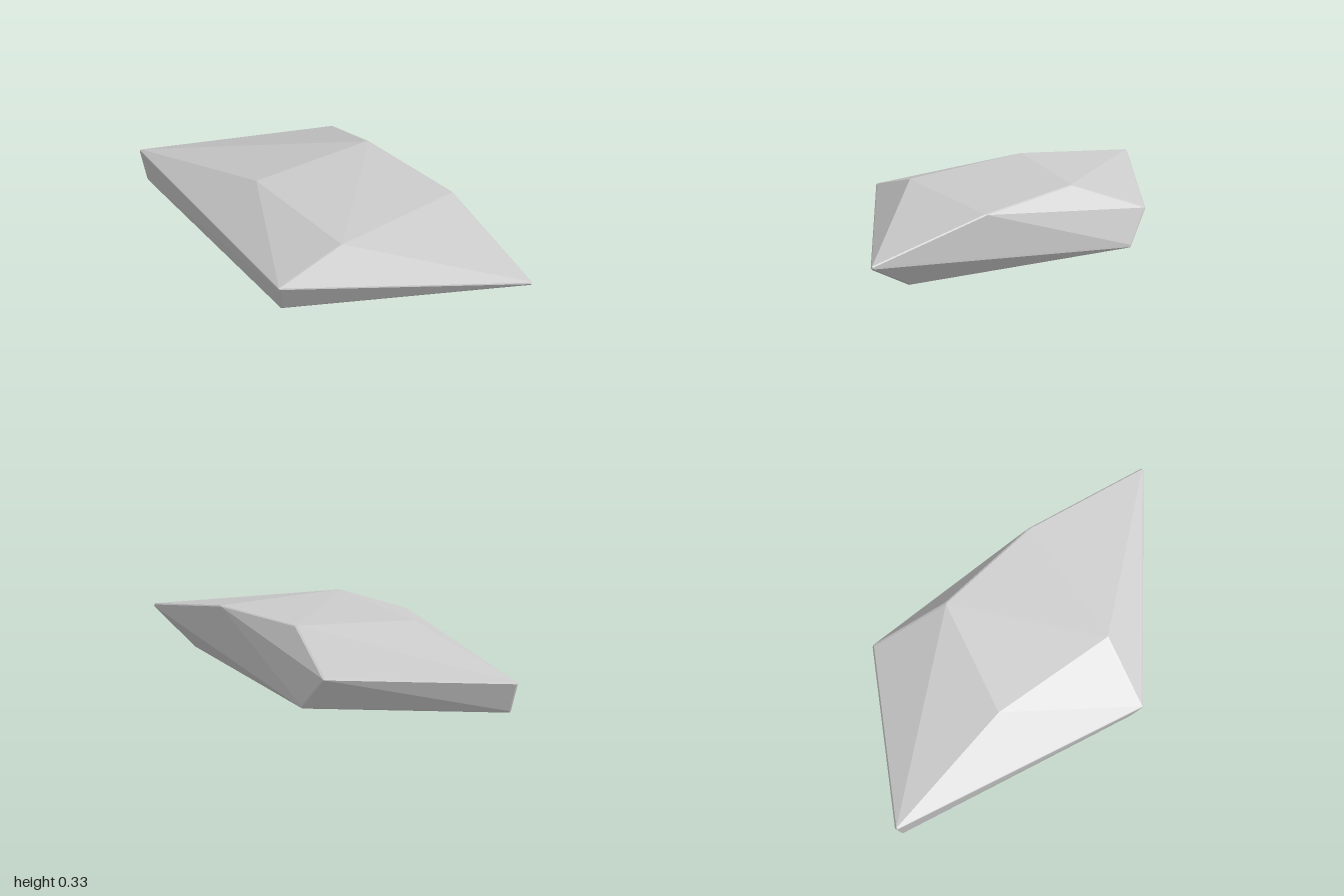
import * as THREE from 'three';
import { ConvexGeometry } from 'three/addons/geometries/ConvexGeometry.js';

const EDGE = 0.01; // radius of the softened edges

// Corner rings of the slab: left, front, right, back
const bottomRing = [[-0.95, 0.01, 0.03], [0.08, 0.038, 0.51], [0.74, 0.035, -0.115], [-0.26, 0.028, -0.56]];
const middleRing = [[-0.99, 0.14, 0.03], [0.1, 0.17, 0.557], [0.985, 0.168, -0.1], [-0.375, 0.168, -0.55]];
const topRing = [[-0.33, 0.289, 0.1], [0.235, 0.289, 0.272], [0.43, 0.301, -0.3], [-0.07, 0.318, -0.382]];

export function createModel() {
  const group = new THREE.Group();
  group.name = 'flatRock';

  // Every corner becomes a tiny ball, so the hull around them has bevelled edges
  const ball = new THREE.IcosahedronGeometry(EDGE, 0).attributes.position;
  const seen = new Set();
  const points = [];
  for (const corner of [...bottomRing, ...middleRing, ...topRing]) {
    for (let i = 0; i < ball.count; i++) {
      const p = new THREE.Vector3().fromBufferAttribute(ball, i).add(new THREE.Vector3(...corner));
      const key = p.toArray().map((v) => v.toFixed(4)).join();
      if (!seen.has(key)) {
        seen.add(key);
        points.push(p);
      }
    }
  }

  const geometry = new ConvexGeometry(points);
  geometry.computeBoundingBox();
  geometry.translate(0, -geometry.boundingBox.min.y, 0);

  const rock = new THREE.Mesh(geometry, new THREE.MeshStandardMaterial({ color: 0xcccccc, flatShading: true }));
  rock.name = 'rockSlab';
  group.add(rock);
  return group;
}
